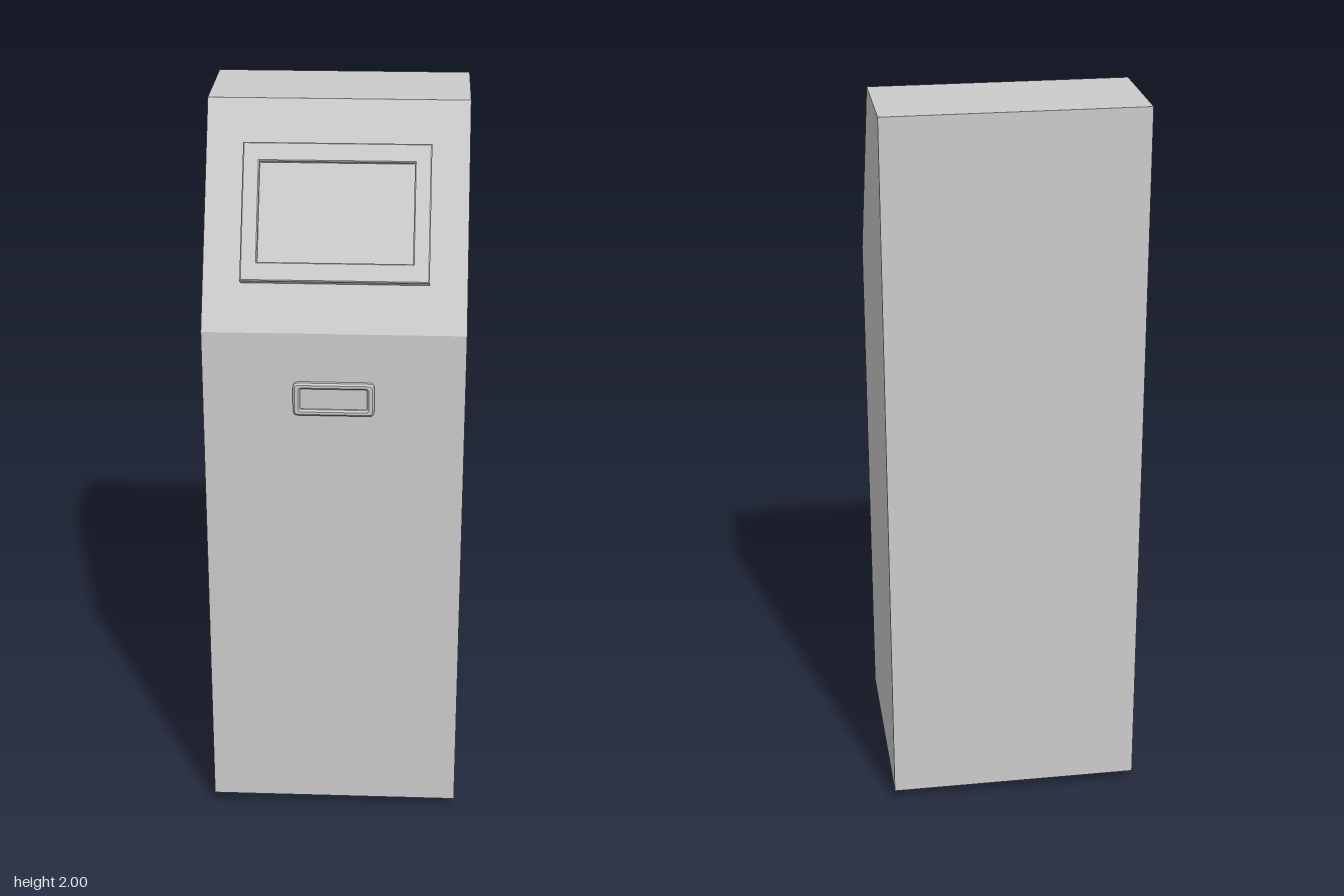
import * as THREE from 'three';

const grey = new THREE.MeshStandardMaterial({ color: 0xcccccc, flatShading: true });

function part(parent, name, geometry, x = 0, y = 0, z = 0) {
  const mesh = new THREE.Mesh(geometry, grey);
  mesh.name = name;
  mesh.position.set(x, y, z);
  parent.add(mesh);
  return mesh;
}

// Centred rectangle outline with optional rounded corners
function rect(Type, w, h, r) {
  const s = new Type();
  const x = w / 2, y = h / 2;
  if (!r) {
    s.moveTo(-x, -y).lineTo(x, -y).lineTo(x, y).lineTo(-x, y).closePath();
    return s;
  }
  s.moveTo(-x + r, -y).lineTo(x - r, -y).quadraticCurveTo(x, -y, x, -y + r);
  s.lineTo(x, y - r).quadraticCurveTo(x, y, x - r, y);
  s.lineTo(-x + r, y).quadraticCurveTo(-x, y, -x, y - r);
  s.lineTo(-x, -y + r).quadraticCurveTo(-x, -y, -x + r, -y);
  return s;
}

// Chamfered bezel whose front face sits at z = height; its back edge is sunk into the body
function bezel(outer, hole, height, chamfer) {
  outer.holes.push(hole);
  const geo = new THREE.ExtrudeGeometry(outer, {
    depth: height - chamfer, bevelEnabled: true, bevelSegments: 1, curveSegments: 3,
    bevelSize: chamfer, bevelThickness: chamfer, bevelOffset: -chamfer,
  });
  return geo;
}

export function createModel() {
  const kiosk = new THREE.Group();
  kiosk.name = 'kiosk';

  // Cabinet: side profile (z, y) extruded across the width
  const width = 0.69, kneeY = 1.46, frontZ = 0.3, topZ = -0.01;
  const profile = new THREE.Shape([
    [-0.317, 0.035], [frontZ, 0.035], [frontZ, kneeY], [topZ, 2], [-0.317, 2],
  ].map(([z, y]) => new THREE.Vector2(-z, y)));
  const cabinet = new THREE.ExtrudeGeometry(profile, { depth: width, bevelEnabled: false });
  cabinet.translate(0, 0, -width / 2).rotateY(Math.PI / 2);
  part(kiosk, 'cabinet', cabinet);

  // Display on the sloping panel; local y runs up the slope, local z out of it
  const display = new THREE.Group();
  display.name = 'display';
  display.position.set(0, kneeY, frontZ);
  display.rotation.x = -Math.atan2(frontZ - topZ, 2 - kneeY);
  kiosk.add(display);
  const hole = rect(THREE.Path, 0.404, 0.266);
  const frame = bezel(rect(THREE.Shape, 0.492, 0.366), hole, 0.031, 0.003);
  part(display, 'displayFrame', frame, 0, 0.314, 0);
  part(display, 'screen', new THREE.BoxGeometry(0.42, 0.285, 0.02), 0, 0.32, 0.004);

  // Ticket slot on the front
  const slot = bezel(rect(THREE.Shape, 0.214, 0.092, 0.014),
    rect(THREE.Path, 0.176, 0.058, 0.004), 0.015, 0.005);
  part(kiosk, 'slotFrame', slot, 0, 1.28, frontZ);
  part(kiosk, 'slotPlate', new THREE.BoxGeometry(0.19, 0.07, 0.01), 0, 1.28, frontZ);

  // Four hexagonal feet
  for (const x of [-0.247, 0.247]) {
    for (const z of [-0.235, 0.225]) {
      const foot = new THREE.CylinderGeometry(0.031, 0.031, 0.04, 6).rotateY(Math.PI / 2);
      part(kiosk, 'foot', foot, x, 0.02, z);
    }
  }
  return kiosk;
}
